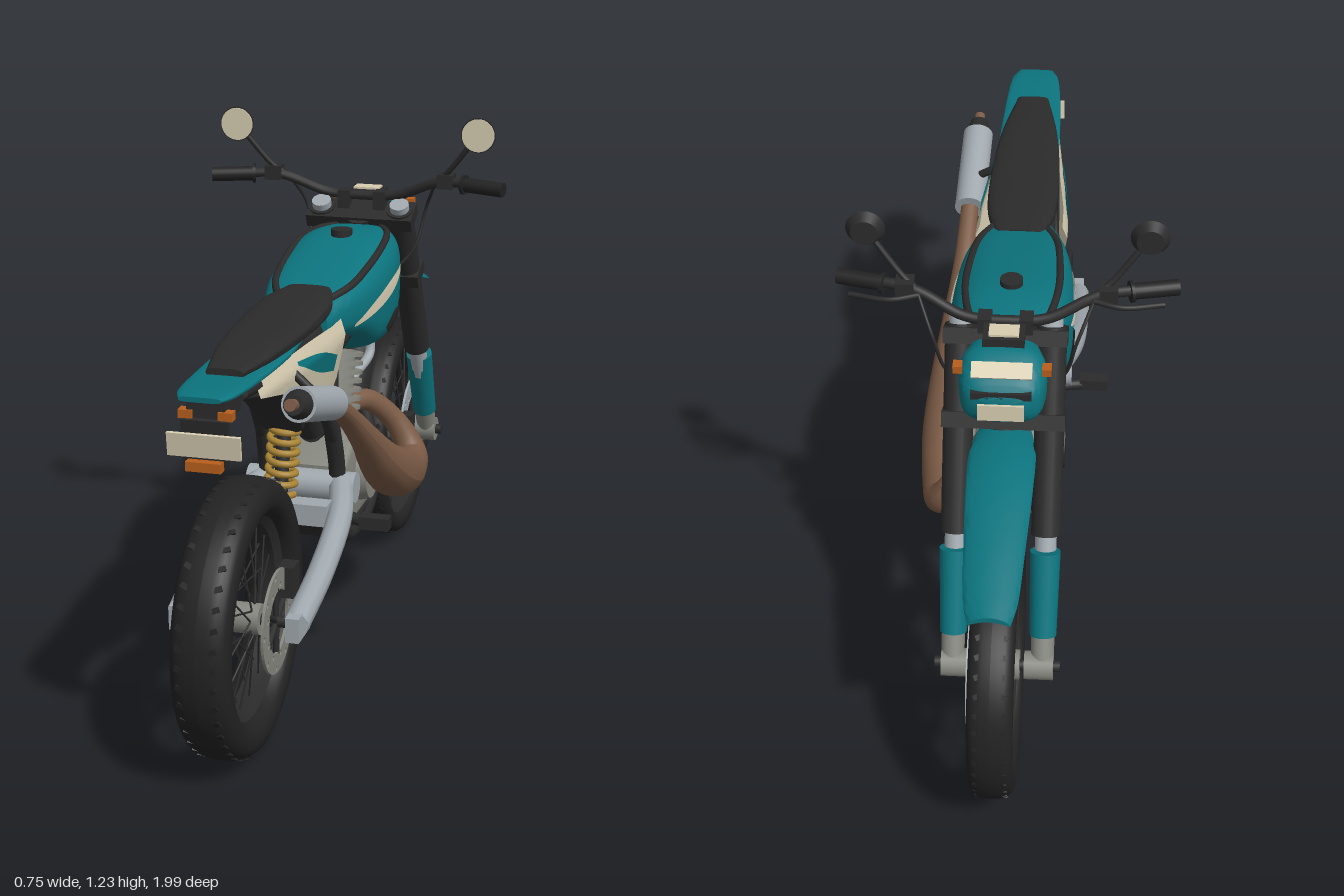
import * as THREE from 'three';
import { toCreasedNormals } from 'three/addons/utils/BufferGeometryUtils.js';

const mat = (name, color) => new THREE.MeshStandardMaterial({ name, color, side: THREE.DoubleSide });
const teal = mat('teal', 0x0c747e), cream = mat('cream', 0xd8ceb2), black = mat('black', 0x2b2b2c),
  rubber = mat('rubber', 0x222223), brown = mat('brown', 0x7a5a45), silver = mat('silver', 0xa0a8ae),
  grey = mat('grey', 0x85867e), orange = mat('orange', 0xb85f1c), gold = mat('gold', 0xa98434);
const V = (p) => new THREE.Vector3(...p);

export function createModel() {
  const root = new THREE.Group();
  let target = root;
  const add = (name, geo, m, pos = [0, 0, 0], rot = [0, 0, 0]) => {
    const mesh = new THREE.Mesh(geo, m);
    mesh.name = name;
    mesh.position.set(...pos);
    mesh.rotation.set(...rot);
    target.add(mesh);
    return mesh;
  };
  const both = (fn) => [1, -1].forEach(fn);
  const box = (name, size, m, pos, rot) => add(name, new THREE.BoxGeometry(...size), m, pos, rot);
  // straight rod between two points
  const rod = (name, a, b, r1, m, r2 = r1, seg = 20) => {
    const A = V(a), B = V(b), d = B.clone().sub(A);
    const mesh = add(name, new THREE.CylinderGeometry(r2, r1, d.length(), seg), m, A.clone().add(B).multiplyScalar(0.5).toArray());
    mesh.quaternion.setFromUnitVectors(new THREE.Vector3(0, 1, 0), d.normalize());
    return mesh;
  };
  const tube = (name, pts, r, m, seg = 40) =>
    add(name, new THREE.TubeGeometry(new THREE.CatmullRomCurve3(pts.map(V)), seg, r, 10), m);
  // tube whose radius varies; each point is [x, y, z, r]
  const pipe = (name, pts, m) => {
    const c = new THREE.CatmullRomCurve3(pts.map((p) => V(p.slice(0, 3))));
    const rc = new THREE.CatmullRomCurve3(pts.map((p) => V([p[3], 0, 0])), false, 'catmullrom');
    const n = 70, g = new THREE.TubeGeometry(c, n, 1, 20), P = g.attributes.position, N = g.attributes.normal;
    for (let i = 0; i < P.count; i++) {
      const u = Math.floor(i / 21) / n, o = c.getPointAt(u), r = rc.getPoint(c.getUtoTmapping(u)).x;
      P.setXYZ(i, o.x + N.getX(i) * r, o.y + N.getY(i) * r, o.z + N.getZ(i) * r);
    }
    g.computeVertexNormals();
    return add(name, g, m);
  };
  // flat outline in [z, y], extruded across x
  const plate = (name, pts, width, m, x = 0, bevel = 0) => {
    const g = new THREE.ExtrudeGeometry(new THREE.Shape(pts.map((p) => new THREE.Vector2(...p))),
      { depth: width, bevelEnabled: bevel > 0, bevelSize: bevel, bevelThickness: bevel, bevelSegments: 3 });
    g.rotateY(-Math.PI / 2).translate(x + width / 2, 0, 0);
    return add(name, toCreasedNormals(g, 0.6), m);
  };
  // body through superellipse sections [z, halfWidth, bottom, top], z rising
  const section = (secs, t) => {
    const c = (f) => new THREE.CatmullRomCurve3(secs.map(f), false, 'catmullrom').getPoint(t);
    const a = c((s) => V([s[0], s[1], 0])), b = c((s) => V([s[2], s[3], 0]));
    return { z: a.x, w: a.y, mid: (b.x + b.y) / 2, h: (b.y - b.x) / 2 };
  };
  const loft = (name, secs, m, e = 0.6, arch = 0) => {
    const n = secs.length * 5, k = 36, pos = [], idx = [];
    const pw = (v) => Math.sign(v) * Math.abs(v) ** e;
    for (let i = 0; i <= n; i++) {
      const s = section(secs, i / n);
      for (let j = 0; j < k; j++) {
        const a = (j / k) * Math.PI * 2, cx = pw(Math.cos(a));
        pos.push(s.w * cx, s.mid + s.h * pw(Math.sin(a)) - arch * cx * cx, s.z);
        const p = i * k + j, q = i * k + (j + 1) % k;
        if (i < n) idx.push(p, q, p + k, q, q + k, p + k);
      }
    }
    for (const [i, flip] of [[0, true], [n, false]]) {
      const s = section(secs, i / n), c = pos.length / 3;
      pos.push(0, s.mid, s.z);
      for (let j = 0; j < k; j++) {
        const p = i * k + j, q = i * k + (j + 1) % k;
        idx.push(c, flip ? q : p, flip ? p : q);
      }
    }
    const g = new THREE.BufferGeometry();
    g.setAttribute('position', new THREE.Float32BufferAttribute(pos, 3));
    g.setIndex(idx);
    return add(name, toCreasedNormals(g, 0.7), m);
  };
  // section of a loft at a given z
  const at = (secs, z) => {
    let lo = 0, hi = 1;
    for (let i = 0; i < 20; i++) { const t = (lo + hi) / 2; if (section(secs, t).z < z) lo = t; else hi = t; }
    return section(secs, lo);
  };
  // thin skin on both sides between two [z, y] edges, laid on x = surf(z, y)
  const skin = (name, surf, top, bottom, m) => both((s) => {
    const [a, b] = [top, bottom].map((l) => new THREE.SplineCurve(l.map((p) => new THREE.Vector2(...p))));
    const g = new THREE.PlaneGeometry(1, 1, 24, 8), P = g.attributes.position;
    for (let i = 0; i < P.count; i++) {
      const t = P.getX(i) + 0.5, q = a.getPoint(t).lerp(b.getPoint(t), 0.5 - P.getY(i));
      P.setXYZ(i, s * surf(q.x, q.y), q.y, q.x);
    }
    // front faces point outward on each side
    if (s > 0) g.setIndex(Array.from(g.index.array).reverse());
    g.computeVertexNormals();
    add(name, g, m);
  });

  // wheels
  const wheel = (name, y, z, R, ri, hw) => {
    target = new THREE.Group();
    target.name = name;
    target.position.set(0, y, z);
    root.add(target);
    const side = [0, 0, Math.PI / 2], prof = [];
    const mid = (R + ri) / 2, h = (R - ri) / 2;
    for (let i = 0; i <= 24; i++) {
      const a = (i / 24) * Math.PI * 2, c = Math.cos(a), s = Math.sin(a);
      prof.push(new THREE.Vector2(mid + h * Math.sign(c) * Math.abs(c) ** 0.85, hw * Math.sign(s) * Math.abs(s) ** 0.75));
    }
    add('tyre', new THREE.LatheGeometry(prof.reverse(), 72), rubber, [0, 0, 0], side);
    const rim = [[ri - 0.014, -0.02], [ri + 0.006, -0.035], [ri + 0.006, 0.035], [ri - 0.014, 0.02], [ri - 0.014, -0.02]];
    add('rim', toCreasedNormals(new THREE.LatheGeometry(rim.map((p) => new THREE.Vector2(...p)), 60), 0.5), black, [0, 0, 0], side);
    for (let i = 0; i < 44; i++) {
      const a = (i / 44) * Math.PI * 2;
      for (const s of [-1, 1]) box('treadBlock', [hw * 0.7, 0.004, 0.012], rubber,
        [s * hw * 0.36, Math.cos(a) * (R - 0.005), Math.sin(a) * (R - 0.005)], [a, s * 0.4, 0]);
    }
    for (let i = 0; i < 36; i++) {
      const a = (i / 36) * Math.PI * 2, b = a + (i % 4 < 2 ? 0.5 : -0.5), x = i % 2 ? 0.035 : -0.035;
      rod('spoke', [x, Math.cos(b) * 0.035, Math.sin(b) * 0.035], [x * 0.2, Math.cos(a) * ri, Math.sin(a) * ri], 0.0022, black, 0.0022, 5);
    }
    rod('hub', [-0.05, 0, 0], [0.05, 0, 0], 0.034, grey);
    rod('axle', [-0.14, 0, 0], [0.14, 0, 0], 0.013, black);
  };
  const disc = (name, x, R, ri, holes, m) => {
    const s = new THREE.Shape().absarc(0, 0, R, 0, Math.PI * 2);
    s.holes.push(new THREE.Path().absarc(0, 0, ri, 0, Math.PI * 2, true));
    for (let i = 0; i < holes; i++) {
      const a = (i / holes) * Math.PI * 2, r = (R + ri) / 2 + (i % 2 ? 0.012 : -0.012);
      s.holes.push(new THREE.Path().absarc(Math.cos(a) * r, Math.sin(a) * r, 0.006, 0, Math.PI * 2, true));
    }
    add(name, new THREE.ExtrudeGeometry(s, { depth: 0.006, bevelEnabled: false, curveSegments: 24 }).rotateY(Math.PI / 2), m, [x, 0, 0]);
    for (let i = 0; i < 6; i++) {
      const a = (i / 6) * Math.PI * 2;
      rod('carrierArm', [x, 0, 0], [x, Math.cos(a) * (ri + 0.005), Math.sin(a) * (ri + 0.005)], 0.007, black, 0.007, 8);
    }
  };
  wheel('frontWheel', 0.3, -0.7, 0.296, 0.232, 0.05);
  disc('frontBrakeDisc', 0.055, 0.145, 0.095, 24, silver);
  box('frontCaliper', [0.04, 0.08, 0.045], black, [0.07, 0.04, 0.13]);
  wheel('rearWheel', 0.308, 0.69, 0.306, 0.218, 0.064);
  disc('rearBrakeDisc', 0.082, 0.115, 0.07, 18, grey);
  box('rearCaliper', [0.035, 0.07, 0.05], black, [0.09, 0.07, -0.07]);
  disc('sprocket', -0.105, 0.112, 0.085, 0, black);
  target = root;

  // chain around both sprockets
  const chain = [];
  for (let i = 0; i <= 8; i++) { const a = (i / 8) * Math.PI; chain.push([-0.102, 0.308 + 0.117 * Math.cos(a), 0.69 + 0.117 * Math.sin(a)]); }
  for (let i = 0; i <= 4; i++) { const a = Math.PI * (1 + i / 4); chain.push([-0.102, 0.41 + 0.04 * Math.cos(a), 0.14 + 0.04 * Math.sin(a)]); }
  chain.push(chain[0]);
  tube('chain', chain, 0.009, black, 120);

  // swingarm, pegs and shock
  both((s) => {
    tube('swingarm', [[s * 0.09, 0.45, 0.18], [s * 0.125, 0.42, 0.32], [s * 0.135, 0.36, 0.52], [s * 0.13, 0.31, 0.7]], 0.029, silver);
    box('axleBlock', [0.03, 0.055, 0.09], silver, [s * 0.13, 0.308, 0.69]);
    rod('pegMount', [s * 0.08, 0.38, 0.2], [s * 0.17, 0.37, 0.23], 0.014, black);
    box('footPeg', [0.07, 0.03, 0.035], black, [s * 0.185, 0.375, 0.23]);
  });
  rod('swingarmPivot', [-0.13, 0.44, 0.19], [0.13, 0.44, 0.19], 0.036, silver);
  box('swingarmBridge', [0.2, 0.05, 0.05], silver, [0, 0.42, 0.32]);
  rod('shockBody', [0, 0.45, 0.38], [0, 0.7, 0.32], 0.016, black);
  const coil = [];
  for (let i = 0; i <= 56; i++) {
    const t = i / 56, a = t * Math.PI * 14;
    coil.push([0.032 * Math.cos(a), 0.48 + 0.16 * t, 0.375 - 0.04 * t + 0.032 * Math.sin(a)]);
  }
  tube('shockSpring', coil, 0.008, gold, 180);
  rod('shockTop', [0, 0.64, 0.335], [0, 0.73, 0.315], 0.035, black);

  // frame
  pipe('downTube', [[0, 0.86, -0.4, 0.04], [0, 0.7, -0.35, 0.042], [0, 0.56, -0.29, 0.042], [0, 0.46, -0.25, 0.03]], black);
  both((s) => {
    tube('cradleTube', [[s * 0.03, 0.5, -0.26], [s * 0.065, 0.36, -0.23], [s * 0.075, 0.28, -0.13], [s * 0.075, 0.28, 0.08],
      [s * 0.08, 0.34, 0.16], [s * 0.085, 0.5, 0.2], [s * 0.08, 0.64, 0.24], [s * 0.07, 0.78, 0.2]], 0.02, black, 60);
    tube('seatRail', [[s * 0.07, 0.78, 0.18], [s * 0.06, 0.8, 0.4], [s * 0.045, 0.85, 0.8]], 0.016, black);
    tube('seatStay', [[s * 0.085, 0.56, 0.22], [s * 0.08, 0.66, 0.3], [s * 0.06, 0.79, 0.46]], 0.016, black);
    tube('backboneTube', [[s * 0.03, 0.86, -0.38], [s * 0.06, 0.8, -0.1], [s * 0.07, 0.77, 0.22]], 0.022, black);
  });
  plate('skidPlate', [[0.16, 0.34], [0.1, 0.275], [-0.15, 0.275], [-0.24, 0.34], [-0.22, 0.35], [-0.14, 0.295], [0.1, 0.295]], 0.17, black);
  loft('airbox', [[0.2, 0.06, 0.68, 0.86], [0.3, 0.07, 0.69, 0.86], [0.42, 0.055, 0.76, 0.86], [0.7, 0.04, 0.83, 0.87]], black);
  loft('innerFender', [[0.36, 0.055, 0.62, 0.7], [0.42, 0.06, 0.68, 0.74], [0.55, 0.06, 0.76, 0.79], [0.8, 0.05, 0.83, 0.85]], black);

  // engine
  plate('crankcase', [[0.13, 0.36], [0.05, 0.32], [-0.1, 0.32], [-0.17, 0.38], [-0.15, 0.46], [-0.08, 0.5], [0.04, 0.5], [0.13, 0.46]], 0.15, grey, 0, 0.015);
  rod('clutchCover', [-0.08, 0.41, -0.06], [-0.125, 0.41, -0.06], 0.068, black, 0.058, 28);
  rod('sprocketCover', [-0.08, 0.41, 0.08], [-0.11, 0.41, 0.08], 0.055, grey, 0.048);
  rod('rightCover', [0.08, 0.41, -0.03], [0.115, 0.41, -0.03], 0.08, grey, 0.07, 28);
  rod('cylinder', [0, 0.48, -0.07], [0, 0.68, -0.12], 0.046, grey);
  for (let i = 0; i < 8; i++) {
    const y = 0.52 + i * 0.021;
    rod('coolingFin', [0, y, -0.08 - i * 0.005], [0, y + 0.009, -0.082 - i * 0.005], 0.066, grey, 0.066, 28);
  }
  rod('sparkPlug', [0, 0.68, -0.12], [0, 0.72, -0.13], 0.014, black);
  rod('carburettor', [0, 0.54, -0.02], [0, 0.55, 0.12], 0.032, black);
  rod('intake', [0, 0.55, 0.12], [0, 0.7, 0.24], 0.03, black);
  tube('coolantHose', [[0.04, 0.72, -0.26], [0.05, 0.64, -0.25], [0.03, 0.6, -0.18]], 0.012, silver);
  tube('clutchCable', [[-0.03, 0.86, -0.36], [-0.06, 0.66, -0.2], [-0.09, 0.52, -0.02]], 0.005, black);

  // exhaust
  pipe('expansionPipe', [[0.02, 0.54, -0.14, 0.026], [0.06, 0.53, -0.2, 0.027], [0.12, 0.46, -0.25, 0.029], [0.16, 0.385, -0.245, 0.04],
    [0.165, 0.37, -0.16, 0.052], [0.165, 0.41, -0.03, 0.062], [0.165, 0.48, 0.1, 0.052], [0.16, 0.57, 0.22, 0.036],
    [0.15, 0.66, 0.34, 0.026], [0.145, 0.735, 0.47, 0.022]], brown);
  rod('muffler', [0.145, 0.735, 0.47], [0.14, 0.805, 0.71], 0.038, silver, 0.038, 28);
  rod('mufflerTip', [0.14, 0.805, 0.71], [0.14, 0.816, 0.75], 0.032, black, 0.022);
  rod('mufflerOutlet', [0.14, 0.813, 0.74], [0.14, 0.823, 0.775], 0.013, brown);
  rod('mufflerBracket', [0.13, 0.78, 0.55], [0.06, 0.83, 0.53], 0.01, black);

  // tank with trim
  const tank = [[-0.37, 0.07, 0.84, 0.935], [-0.3, 0.112, 0.755, 0.952], [-0.18, 0.138, 0.7, 0.96], [-0.05, 0.138, 0.705, 0.94],
    [0.05, 0.127, 0.755, 0.92], [0.14, 0.105, 0.785, 0.9], [0.23, 0.07, 0.8, 0.875]];
  loft('tank', tank, teal);
  const tankX = (z, y) => { const s = at(tank, z); return s.w * Math.max(0, 1 - Math.abs((y - s.mid) / s.h) ** 3.33) ** 0.3 + 0.004; };
  const tankY = (z, x) => { const s = at(tank, z); return s.mid + s.h * Math.max(0, 1 - Math.abs(x / s.w) ** 3.33) ** 0.3; };
  skin('tankStripe', tankX, [[0.13, 0.818], [0.03, 0.85], [-0.1, 0.873], [-0.21, 0.885]], [[0.13, 0.81], [0.03, 0.822], [-0.1, 0.84], [-0.2, 0.872]], cream);
  skin('tankVent', tankX, [[-0.06, 0.765], [-0.12, 0.79], [-0.18, 0.785], [-0.22, 0.765]], [[-0.06, 0.76], [-0.11, 0.735], [-0.17, 0.73], [-0.22, 0.76]], black);
  both((s) => tube('tankTrim', [[0.19, 0.055], [0.1, 0.09], [0, 0.102], [-0.15, 0.105], [-0.27, 0.085], [-0.34, 0.05]]
    .map(([z, x]) => [s * x, tankY(z, x), z]), 0.009, black));
  rod('fuelCap', [0, 0.94, -0.16], [0, 0.972, -0.16], 0.026, black);

  // seat, tail and side panels
  loft('seat', [[0.13, 0.055, 0.875, 0.905], [0.24, 0.082, 0.86, 0.905], [0.4, 0.085, 0.86, 0.9], [0.6, 0.07, 0.862, 0.897], [0.77, 0.04, 0.868, 0.888]], black);
  loft('tail', [[0.36, 0.06, 0.845, 0.865], [0.55, 0.076, 0.85, 0.868], [0.75, 0.072, 0.855, 0.873], [0.88, 0.062, 0.86, 0.877], [0.93, 0.045, 0.864, 0.875]], teal);
  const panelX = (z, y) => 0.112 - 0.1 * Math.max(0, z - 0.3) - 0.18 * Math.max(0, 0.82 - y) - 0.35 * Math.max(0, y - 0.82);
  skin('sidePanel', panelX, [[0.22, 0.855], [0.4, 0.858], [0.57, 0.857], [0.74, 0.853]], [[0.235, 0.72], [0.31, 0.68], [0.46, 0.752], [0.74, 0.82]], cream);
  skin('sidePanelStripe', (z, y) => panelX(z, y) + 0.004, [[0.29, 0.79], [0.4, 0.825], [0.53, 0.84]], [[0.3, 0.755], [0.4, 0.78], [0.53, 0.832]], teal);

  // tail light and plate
  box('tailBracket', [0.08, 0.05, 0.11], black, [0, 0.835, 0.84]);
  box('plateHolder', [0.1, 0.1, 0.012], black, [0, 0.77, 0.895], [0.12, 0, 0]);
  box('numberPlate', [0.155, 0.05, 0.008], cream, [0, 0.767, 0.908], [0.12, 0, 0]);
  box('tailLamp', [0.075, 0.02, 0.025], orange, [0, 0.724, 0.905]);
  both((s) => box('rearIndicator', [0.03, 0.018, 0.025], orange, [s * 0.042, 0.828, 0.888]));

  // fork and front fender
  const fork = (x, y, r) => [x, y, -0.7 + (y - 0.3) * 0.515];
  both((s) => {
    const x = s * 0.1;
    rod('forkUpper', fork(x, 0.57), fork(x, 0.985), 0.033, black);
    rod('forkLower', fork(x, 0.34), fork(x, 0.58), 0.024, silver);
    rod('forkCap', fork(x, 0.98), fork(x, 1.0), 0.024, silver);
    rod('forkGuard', fork(x, 0.365), [x, 0.545, -0.588], 0.03, teal, 0.034);
    rod('axleLug', [s * 0.06, 0.3, -0.7], [s * 0.125, 0.3, -0.7], 0.032, grey);
    rod('lugNeck', fork(x, 0.3), fork(x, 0.38), 0.026, grey);
  });
  for (const y of [0.8, 0.965]) box('forkClamp', [0.27, 0.035, 0.075], black, fork(0, y), [0.47, 0, 0]);
  rod('steeringHead', fork(0, 0.78), [0, 0.97, -0.34], 0.036, black);
  loft('frontFender', [[-0.94, 0.045, 0.668, 0.68], [-0.88, 0.058, 0.683, 0.697], [-0.75, 0.066, 0.718, 0.732], [-0.6, 0.073, 0.746, 0.76],
    [-0.48, 0.072, 0.75, 0.764], [-0.36, 0.05, 0.732, 0.746]], teal, 0.8, 0.015);

  // headlight
  loft('headlightShell', [[-0.545, 0.055, 0.88, 0.94], [-0.52, 0.085, 0.855, 0.97], [-0.46, 0.095, 0.845, 1.0], [-0.41, 0.08, 0.87, 0.995]], teal);
  box('headlightLens', [0.1, 0.04, 0.02], cream, [0, 0.9, -0.541]);
  box('headlightBand', [0.13, 0.016, 0.03], black, [0, 0.94, -0.53]);
  box('headlightWindow', [0.13, 0.036, 0.012], cream, [0, 0.98, -0.505], [0.9, 0, 0]);
  box('gauge', [0.09, 0.02, 0.06], black, [0, 1.01, -0.42]);
  box('gaugeFace', [0.065, 0.006, 0.04], cream, [0, 1.022, -0.42]);
  both((s) => box('frontIndicator', [0.02, 0.018, 0.025], orange, [s * 0.095, 0.975, -0.49]));

  // handlebar, levers and mirrors
  tube('handlebar', [[-0.36, 1.06, -0.295], [-0.22, 1.065, -0.33], [-0.18, 1.055, -0.34], [-0.09, 1.018, -0.365], [0, 1.012, -0.37],
    [0.09, 1.018, -0.365], [0.18, 1.055, -0.34], [0.22, 1.065, -0.33], [0.36, 1.06, -0.295]], 0.012, black, 60);
  both((s) => {
    rod('grip', [s * 0.265, 1.063, -0.319], [s * 0.37, 1.06, -0.292], 0.018, rubber);
    rod('gripFlange', [s * 0.265, 1.063, -0.319], [s * 0.272, 1.063, -0.317], 0.024, rubber);
    box('switchPod', [0.04, 0.035, 0.04], black, [s * 0.22, 1.067, -0.332]);
    tube('lever', [[s * 0.19, 1.06, -0.355], [s * 0.25, 1.058, -0.372], [s * 0.34, 1.05, -0.345]], 0.006, black);
    tube('mirrorStem', [[s * 0.2, 1.07, -0.335], [s * 0.225, 1.09, -0.325], [s * 0.285, 1.165, -0.305]], 0.007, black);
    rod('mirrorShell', [s * 0.305, 1.19, -0.318], [s * 0.305, 1.19, -0.296], 0.03, black, 0.043, 32);
    rod('mirrorGlass', [s * 0.305, 1.19, -0.297], [s * 0.305, 1.19, -0.292], 0.04, cream, 0.04, 32);
    box('barClamp', [0.03, 0.05, 0.04], black, [s * 0.045, 1.0, -0.368]);
    tube('controlCable', [[s * 0.19, 1.06, -0.35], [s * 0.155, 0.98, -0.4], [s * 0.13, 0.88, -0.38], [s * 0.08, 0.82, -0.36]], 0.004, black);
  });
  return root;
}
